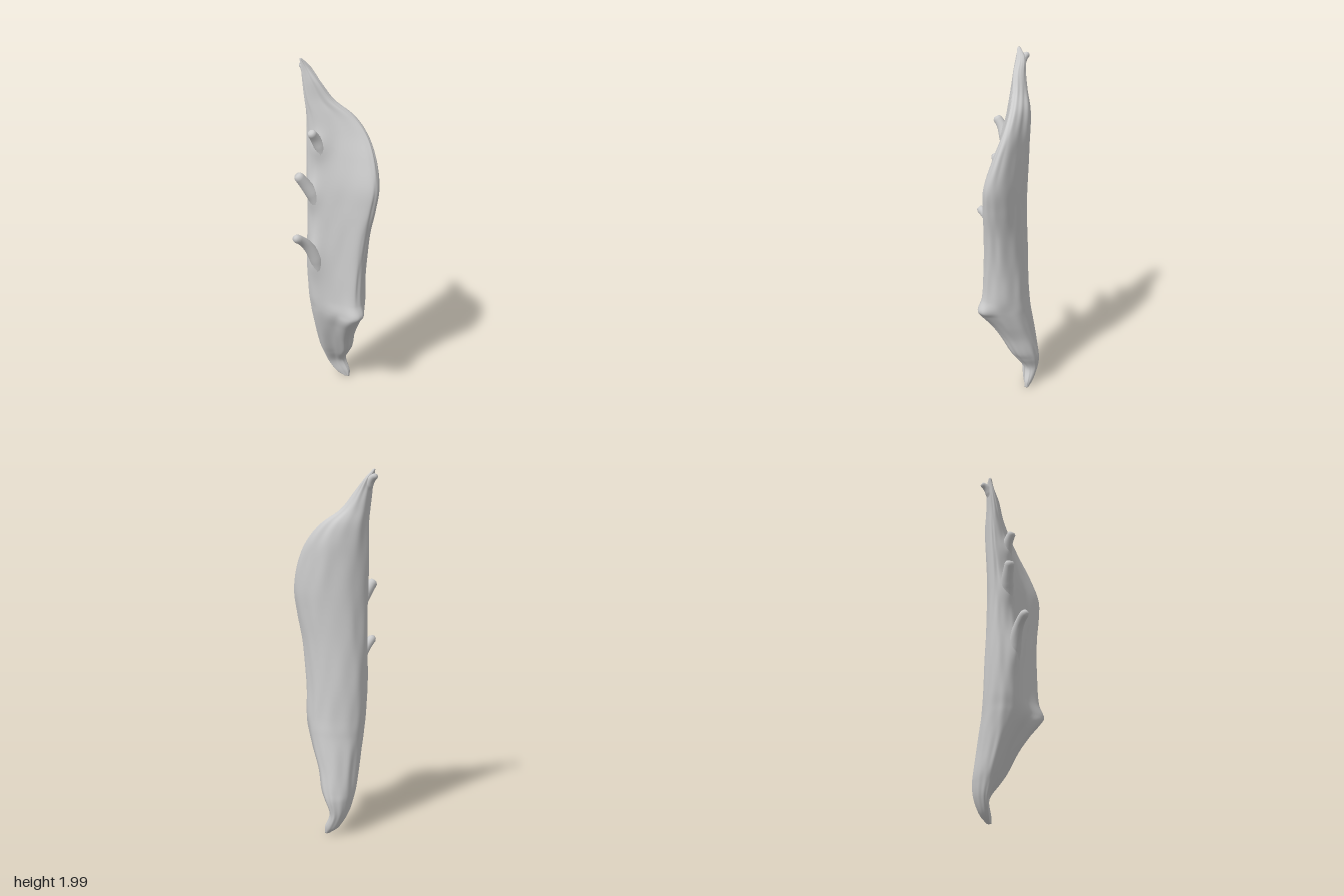
import * as THREE from 'three';

const mix = THREE.MathUtils.lerp;

// Slab levels, bottom to top: y, left x, left z, front z, right x, right z, back z
const LEVELS = [
  [0.003, -0.03, -0.16, -0.152, -0.004, -0.165, -0.18],
  [0.04, -0.078, -0.155, -0.122, -0.006, -0.162, -0.193],
  [0.12, -0.122, -0.14, -0.088, -0.035, -0.145, -0.205],
  [0.2, -0.142, -0.12, -0.052, 0.005, -0.105, -0.215],
  [0.25, -0.149, -0.105, -0.03, 0.034, -0.085, -0.211],
  [0.36, -0.152, -0.08, 0.01, 0.07, -0.035, -0.195],
  [0.46, -0.156, -0.06, 0.042, 0.12, 0.01, -0.182],
  [0.54, -0.16, -0.04, 0.064, 0.175, 0.045, -0.172],
  [0.58, -0.162, -0.035, 0.072, 0.203, 0.045, -0.168],
  [0.65, -0.166, -0.025, 0.08, 0.182, 0.028, -0.16],
  [0.82, -0.171, -0.01, 0.08, 0.178, 0.015, -0.15],
  [1.05, -0.17, 0.0, 0.068, 0.2, 0.0, -0.143],
  [1.22, -0.17, 0.005, 0.055, 0.232, -0.012, -0.146],
  [1.35, -0.175, 0.008, 0.045, 0.247, -0.025, -0.15],
  [1.5, -0.18, 0.005, 0.032, 0.209, -0.06, -0.15],
  [1.62, -0.182, 0.0, 0.024, 0.145, -0.085, -0.146],
  [1.71, -0.185, -0.005, 0.022, 0.065, -0.08, -0.128],
  [1.79, -0.19, -0.005, 0.024, -0.045, -0.042, -0.088],
  [1.88, -0.2, -0.005, 0.022, -0.112, -0.015, -0.058],
  [1.95, -0.208, -0.008, 0.018, -0.168, -0.006, -0.04],
  [1.997, -0.215, 0.004, 0.013, -0.203, 0.008, 0.0],
];

// Swellings of the front where the stubs grow out: x, y, height, half length
const SWELLS = [
  [-0.075, 0.9, 0.026, 0.12],
  [-0.105, 1.27, 0.024, 0.085],
  [-0.08, 1.545, 0.02, 0.07],
];

// Cross-section: rounded left ridge, gently sloping front, thin right edge, convex back
function section([y, xl, zl, zf, xr, zr, zb]) {
  // The knob on the right edge belongs to the front only
  const xk = xr - 0.035 * Math.exp(-(((y - 0.58) / 0.05) ** 2));
  const p = (u, z, right = xr) => new THREE.Vector3(mix(xl, right, u), y, z);
  return [
    p(0, zl), p(0.06, mix(zl, zf, 0.7)), p(0.24, zf),
    p(0.62, mix(zf, zr, 0.52)), p(0.95, zr + 0.006), p(1, mix(zr, zb, 0.2)),
    p(0.95, mix(zr, zb, 0.6), xk), p(0.72, mix(zr, zb, 0.95), xk),
    p(0.42, zb, xk), p(0.1, mix(zl, zb, 0.6), xk),
  ];
}

// Skin rings of points, closing both ends with a fan
function skin(rings) {
  const n = rings[0].length, pos = [], idx = [];
  rings.forEach(r => r.forEach(v => pos.push(v.x, v.y, v.z)));
  for (let j = 0; j < rings.length - 1; j++) {
    for (let i = 0; i < n; i++) {
      const a = j * n + i, b = j * n + (i + 1) % n;
      idx.push(a, b, b + n, a, b + n, a + n);
    }
  }
  [0, rings.length - 1].forEach((j, top) => {
    const c = new THREE.Vector3();
    rings[j].forEach(v => c.addScaledVector(v, 1 / n));
    const k = pos.length / 3;
    pos.push(c.x, c.y, c.z);
    for (let i = 0; i < n; i++) {
      const a = j * n + i, b = j * n + (i + 1) % n;
      if (top) idx.push(a, b, k); else idx.push(b, a, k);
    }
  });
  const g = new THREE.BufferGeometry();
  g.setAttribute('position', new THREE.Float32BufferAttribute(pos, 3));
  g.setIndex(idx);
  g.computeVertexNormals();
  return g;
}

function slabGeometry() {
  const keys = LEVELS.map(section), rows = 160, sides = 84;
  const columns = keys[0].map((_, i) =>
    new THREE.CatmullRomCurve3(keys.map(k => k[i])));
  const rings = [];
  for (let j = 0; j <= rows; j++) {
    const t = j / rows;
    const loop = new THREE.CatmullRomCurve3(columns.map(c => c.getPoint(t)), true);
    const ring = loop.getPoints(sides).slice(0, sides);
    const centre = ring.reduce((s, v) => s.addScaledVector(v, 1 / sides), new THREE.Vector3());
    const fade = Math.min(1, 6 * t, 6 * (1 - t));
    ring.forEach((v, i) => {
      // Long shallow grain running up the wood
      const a = (i / sides) * Math.PI * 2;
      const grain = Math.sin(a * 11 + v.y * 3) * Math.sin(v.y * 7 + a * 2)
        + 0.6 * Math.sin(a * 9 - v.y * 4) * Math.sin(v.y * 11 - a * 3);
      const out = v.clone().sub(centre).setY(0).normalize();
      v.addScaledVector(out, 0.0022 * grain * fade);
      // Swell the front under each stub
      if (i / sides < 0.5) {
        for (const [x, y, h, len] of SWELLS) {
          v.z += h * Math.exp(-(((v.x - x) / 0.045) ** 2) - ((v.y - y) / len) ** 2);
        }
      }
    });
    rings.push(ring);
  }
  return skin(rings);
}

// Tapered, curved stub following a path, with a blunt rounded tip
function stubGeometry(path, radii) {
  const curve = new THREE.CatmullRomCurve3(path.map(p => new THREE.Vector3(...p)));
  const steps = 22, sides = 16, rings = [];
  const frames = curve.computeFrenetFrames(steps, false);
  for (let j = 0; j <= steps; j++) {
    const t = j / steps, f = t * (radii.length - 1);
    const k = Math.min(Math.floor(f), radii.length - 2);
    const r = mix(radii[k], radii[k + 1], f - k) * (j === steps ? 0.7 : 1);
    const c = curve.getPointAt(t);
    rings.push(Array.from({ length: sides }, (_, i) => {
      const a = (i / sides) * Math.PI * 2;
      return c.clone()
        .addScaledVector(frames.normals[j], r * Math.cos(a))
        .addScaledVector(frames.binormals[j], r * Math.sin(a));
    }));
  }
  return skin(rings);
}

export function createModel() {
  const group = new THREE.Group();
  group.name = 'barkSlab';
  const material = new THREE.MeshStandardMaterial({ color: 0xcccccc, roughness: 0.9 });
  const add = (name, geometry) => {
    const mesh = new THREE.Mesh(geometry, material);
    mesh.name = name;
    group.add(mesh);
  };

  add('slab', slabGeometry());

  // Broken branch stubs up the front ridge
  add('lowerStub', stubGeometry(
    [[-0.06, 0.76, 0.04], [-0.07, 0.9, 0.073], [-0.095, 1.0, 0.125], [-0.108, 1.045, 0.17], [-0.114, 1.068, 0.208]],
    [0.02, 0.036, 0.038, 0.032, 0.026, 0.024]));
  add('middleStub', stubGeometry(
    [[-0.08, 1.16, 0.02], [-0.1, 1.26, 0.045], [-0.132, 1.34, 0.085], [-0.155, 1.4, 0.124]],
    [0.02, 0.036, 0.037, 0.031, 0.026]));
  add('upperStub', stubGeometry(
    [[-0.065, 1.45, 0.0], [-0.075, 1.53, 0.016], [-0.089, 1.59, 0.042], [-0.093, 1.638, 0.08]],
    [0.016, 0.03, 0.031, 0.027, 0.023]));

  // Side prong of the forked tip
  add('tipProng', stubGeometry(
    [[-0.165, 1.84, -0.014], [-0.182, 1.9, -0.016], [-0.208, 1.942, -0.022], [-0.24, 1.96, -0.032]],
    [0.014, 0.022, 0.025, 0.021, 0.015]));
  return group;
}
